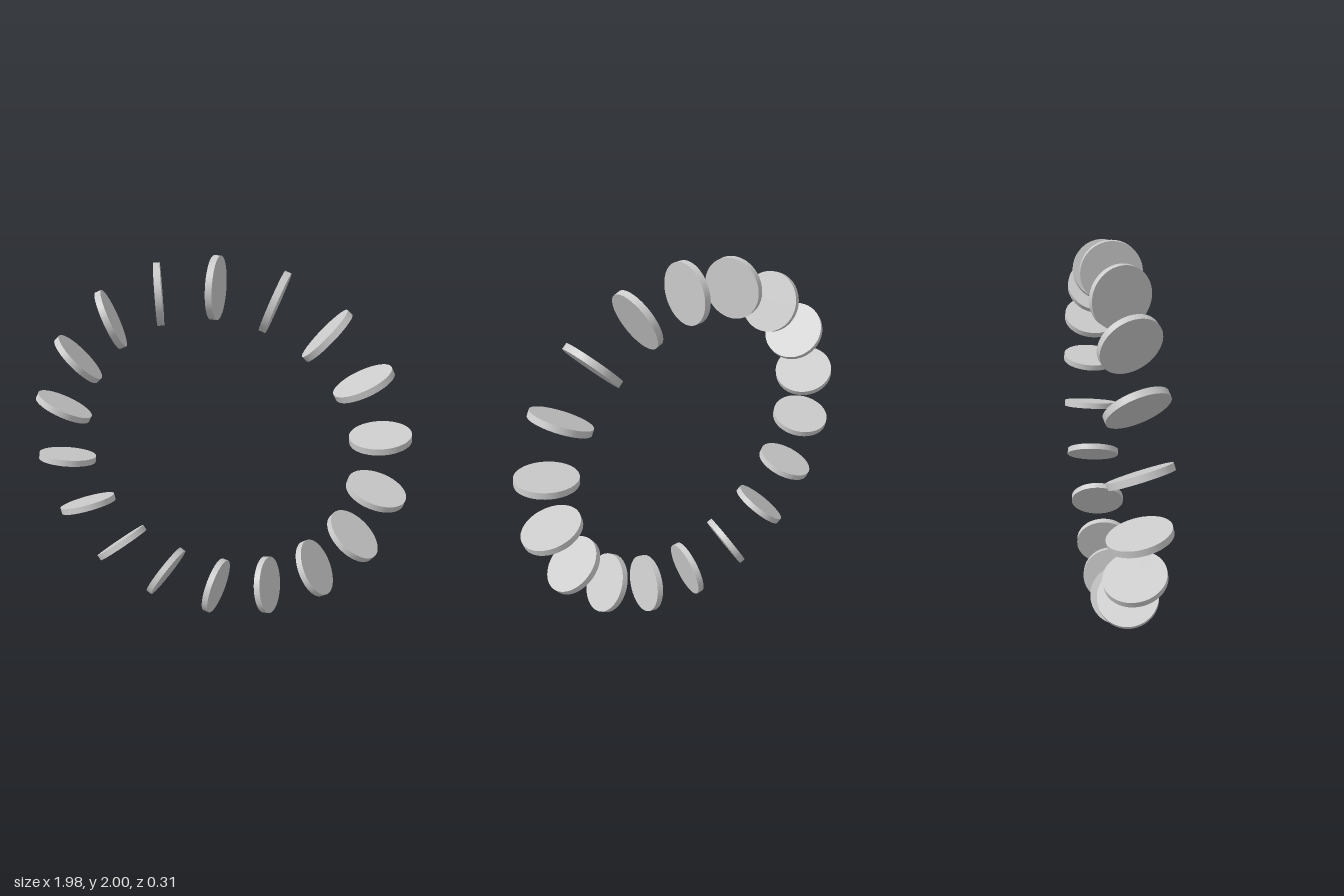
import * as THREE from 'three';

const COUNT = 18;
const RING_RADIUS = 0.847;
const DISC_RADIUS = 0.153;
const THICKNESS = 0.033;

export function createModel() {
  const ring = new THREE.Group();
  ring.name = 'discRing';

  const material = new THREE.MeshStandardMaterial({ color: 0xcccccc });
  // Flat disc whose axis follows the ring's tangent
  const disc = new THREE.CylinderGeometry(DISC_RADIUS, DISC_RADIUS, THICKNESS, 64);
  disc.rotateZ(Math.PI / 2);

  // Clockwise from the top; each disc leans and twists one degree more
  for (let i = 0; i < COUNT; i++) {
    const angle = (i / COUNT) * Math.PI * 2;
    const extra = THREE.MathUtils.degToRad(i);
    const mesh = new THREE.Mesh(disc, material);
    mesh.name = `disc${i + 1}`;
    mesh.position.set(Math.sin(angle) * RING_RADIUS, 1 + Math.cos(angle) * RING_RADIUS, 0);
    mesh.rotation.set(0, extra, -(angle + extra), 'ZYX');
    ring.add(mesh);
  }
  return ring;
}
